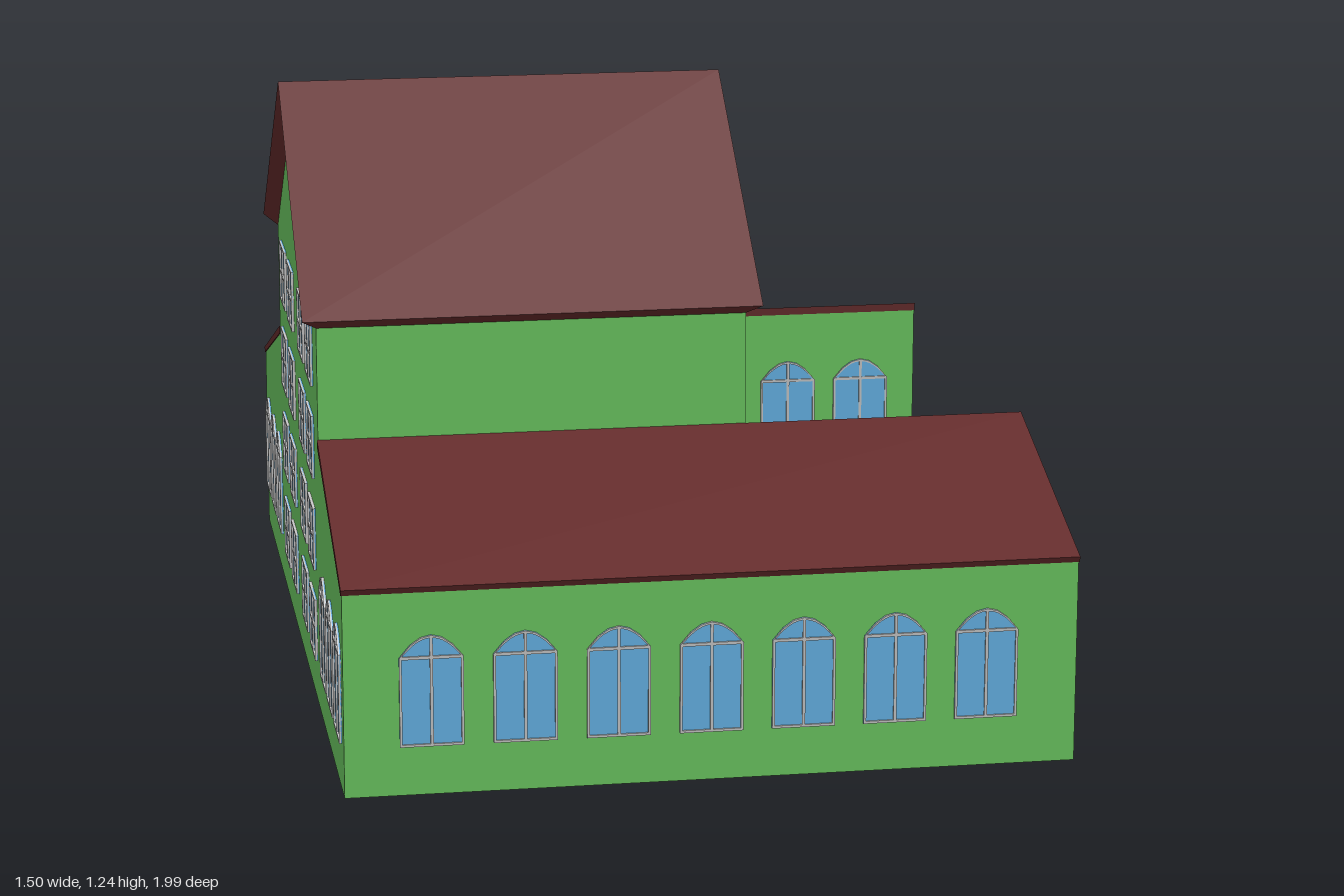
import * as THREE from 'three';

const mat = (color, side = THREE.FrontSide) =>
  new THREE.MeshStandardMaterial({ color, side, flatShading: true });

export function createModel() {
  const model = new THREE.Group();
  model.name = 'building';
  const wallMat = mat(0x6ecb63, THREE.DoubleSide);
  const roofMat = mat(0x662c2c);
  const glassMat = mat(0x68b8ec);
  const trimMat = mat(0xcccccc);
  const darkMat = mat(0x222222);

  const add = (parent, name, geometry, material) => {
    const mesh = new THREE.Mesh(geometry, material);
    mesh.name = name;
    parent.add(mesh);
    return mesh;
  };
  const shapeOf = (pts) => new THREE.Shape(pts.map(([x, y]) => new THREE.Vector2(x, y)));
  const extrude = (shape, depth) =>
    new THREE.ExtrudeGeometry(shape, { depth, bevelEnabled: false });

  // Cross-section given as [z, y], swept along x from x0 to x1
  const sweepX = (pts, x0, x1) =>
    extrude(shapeOf(pts.map(([z, y]) => [-z, y])), x1 - x0).rotateY(Math.PI / 2).translate(x0, 0, 0);

  // Main dimensions
  const backX = -0.72, hallX = 0.16, wingX = 0.74, hallZ = 0.5, wingZ = 0.99;
  const eaveY = 0.825, ridgeY = 1.2;

  // Hall: hollow shell, open below, with a doorway in the gable wall
  const hall = new THREE.Group();
  hall.name = 'hall';
  model.add(hall);
  const gable = [[hallZ, 0], [hallZ, eaveY], [0, ridgeY], [-hallZ, eaveY], [-hallZ, 0]];
  const door = [[-0.105, 0], [-0.105, 0.285], [0.105, 0.285], [0.105, 0]];
  const gableWall = (name, pts, x) =>
    add(hall, name, new THREE.ShapeGeometry(shapeOf(pts)).rotateY(Math.PI / 2).translate(x, 0, 0), wallMat);
  gableWall('doorWall', [...gable, ...door], hallX);
  gableWall('backWall', gable, backX);
  for (const s of [-1, 1]) {
    const side = add(hall, 'sideWall', new THREE.PlaneGeometry(hallX - backX, eaveY), wallMat);
    side.position.set((hallX + backX) / 2, eaveY / 2, s * hallZ);
    if (s < 0) side.rotation.y = Math.PI;
  }

  // Hall roof: the upper outline overhangs, the lower one is drawn in to the walls
  const roofGeo = sweepX(
    [[0.53, 0.845], [0, 1.24], [-0.53, 0.845], [-hallZ, eaveY], [0, ridgeY], [hallZ, eaveY]], -0.75, 0.19);
  const p = roofGeo.attributes.position;
  for (let i = 0; i < p.count; i++) {
    const slopeY = 1.24 - Math.abs(p.getZ(i)) * 0.745;
    if (p.getY(i) < slopeY - 0.015) p.setX(i, THREE.MathUtils.clamp(p.getX(i), backX, hallX));
  }
  roofGeo.computeVertexNormals();
  add(hall, 'hallRoof', roofGeo, roofMat);

  // Small gabled canopy over the doorway
  add(hall, 'porchCanopy', sweepX([[0.105, 0.285], [0, 0.34], [-0.105, 0.285]], hallX, 0.205), roofMat);

  // Clock on the gable
  const clock = new THREE.Group();
  clock.name = 'clock';
  clock.position.set(hallX, 0.935, 0);
  clock.rotation.y = Math.PI / 2;
  hall.add(clock);
  add(clock, 'clockFace', new THREE.CylinderGeometry(0.079, 0.079, 0.01, 24).rotateX(Math.PI / 2), trimMat);
  add(clock, 'clockHand', new THREE.BoxGeometry(0.005, 0.07, 0.003).translate(0, 0.035, 0.006), darkMat);
  for (let i = 0; i < 12; i++) {
    const tick = add(clock, 'hourMark', new THREE.BoxGeometry(0.003, 0.01, 0.002).translate(0, 0.073, 0.005), darkMat);
    tick.rotation.z = (i * Math.PI) / 6;
  }

  // Wings: closed lean-to blocks with thin roofs
  for (const s of [-1, 1]) {
    const section = (pts) => (s > 0 ? pts : pts.map(([z, y]) => [-z, y]));
    add(model, 'wing', sweepX(section([[hallZ, 0], [wingZ, 0], [wingZ, 0.412], [hallZ, 0.575]]), backX, wingX), wallMat);
    add(model, 'wingRoof', sweepX(
      section([[hallZ, 0.575], [wingZ, 0.412], [0.995, 0.424], [hallZ, 0.592]]), backX - 0.002, wingX + 0.002), roofMat);
  }

  // Window outline between xa and xb; with a rise the top follows the arch
  const outline = (xa, xb, ya, yb, half, rise = 0) => {
    const pts = [[xa, ya], [xb, ya]];
    const n = rise ? 6 : 1;
    for (let i = 0; i <= n; i++) {
      const x = xb + ((xa - xb) * i) / n;
      pts.push([x, yb + rise * (1 - (x / half) ** 2)]);
    }
    return pts;
  };

  // Window with its foot at the origin, facing +z: back panel, glass, glazing bars
  const makeWindow = (w, h, arched) => {
    const half = w / 2, rise = arched ? 0.045 : 0, spring = h - rise;
    const mid = arched ? spring : h / 2, b = 0.005, m = 0.003;
    const outer = outline(-half, half, 0, spring, half, rise);
    const frame = shapeOf(outer);
    for (const s of [-1, 1]) {
      const xs = s < 0 ? [-half + b, -m] : [m, half - b];
      const top = arched ? spring - b : h - b;
      for (const pane of [outline(...xs, b, mid - m, half), outline(...xs, mid + m, top, half, rise)]) {
        // Arched panes start above the bar and stop below the frame
        const pts = pane.map(([x, y]) => [x, Math.max(y, pane === outer ? y : pane[0][1])]);
        const clean = pts.filter((q, i) => i === 0 || Math.hypot(q[0] - pts[i - 1][0], q[1] - pts[i - 1][1]) > 1e-5);
        frame.holes.push(new THREE.Path(clean.map(([x, y]) => new THREE.Vector2(x, y))));
      }
    }
    return {
      panel: extrude(shapeOf(outer), 0.004).translate(0, 0, -0.006),
      glass: extrude(shapeOf(outer), 0.004).translate(0, 0, -0.0015),
      bars: extrude(frame, 0.007).translate(0, 0, -0.001),
    };
  };
  const square = makeWindow(0.133, 0.132, false);
  const arch = makeWindow(0.126, 0.226, true);
  const tallArch = makeWindow(0.126, 0.385, true);

  const placeWindow = (kind, x, y, z, turn) => {
    const win = new THREE.Group();
    win.name = 'window';
    add(win, 'windowBack', kind.panel, trimMat);
    add(win, 'windowGlass', kind.glass, glassMat);
    add(win, 'windowFrame', kind.bars, trimMat);
    win.position.set(x, y, z);
    win.rotation.y = turn;
    model.add(win);
  };

  const toFront = Math.PI / 2, toBack = -Math.PI / 2;
  for (const s of [-1, 1]) {
    const outward = s > 0 ? 0 : Math.PI, inward = Math.PI - outward;
    // Long outer walls and courtyard walls of the wings
    for (let i = -3; i <= 3; i++) placeWindow(arch, 0.004 + i * 0.184, 0.1, s * wingZ, outward);
    for (const x of [0.275, 0.445, 0.615]) placeWindow(tallArch, x, 0.08, s * hallZ, inward);
    // Wing end walls
    for (const z of [0.67, 0.863])
      for (const y of [0.092, 0.288]) placeWindow(square, wingX, y, s * z, toFront);
    for (const z of [0.58, 0.735, 0.89]) placeWindow(arch, backX, 0.1, s * z, toBack);
    // Hall door wall
    placeWindow(square, hallX, 0.092, s * 0.303, toFront);
    placeWindow(arch, hallX, 0.407, s * 0.311, toFront);
    // Hall back wall
    for (const z of [0.14, 0.335])
      for (let row = 0; row < 4; row++) placeWindow(square, backX, 0.092 + row * 0.196, s * z, toBack);
  }
  placeWindow(arch, hallX, 0.53, 0.004, toFront);

  return model;
}
